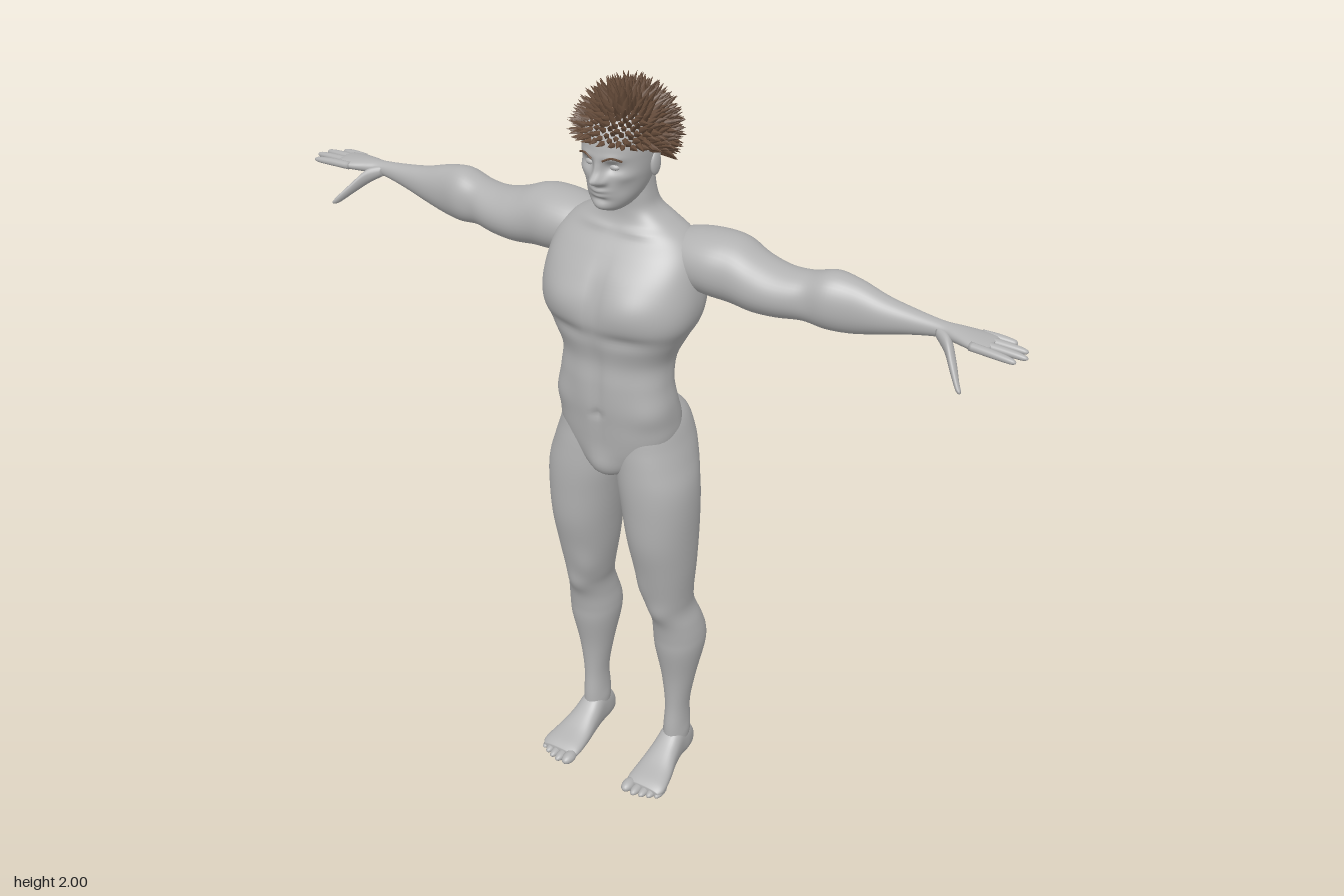
import * as THREE from 'three';
import { mergeGeometries } from 'three/addons/utils/BufferGeometryUtils.js';

// Smooth interpolation through rows of numbers
function sample(rows, u) {
  const i = Math.min(Math.floor(u), rows.length - 2), f = u - i;
  const p = (k) => rows[Math.max(0, Math.min(rows.length - 1, k))];
  return rows[0].map((_, c) => {
    const a = p(i - 1)[c], b = p(i)[c], d = p(i + 1)[c], e = p(i + 2)[c];
    return b + 0.5 * f * (d - a + f * (2 * a - 5 * b + 4 * d - e + f * (3 * (b - d) + e - a)));
  });
}

// Loft along an axis (0 x, 1 y, 2 z). Row: [position, a min, a max, b min, b max],
// where a and b are the next two axes in cyclic order. Bumps: [x, y, z, rx, ry, rz, height].
function loft(axis, rows, { sides = 40, steps = 6, n = 2.1, bumps = [] } = {}) {
  const pos = [], idx = [], rings = (rows.length - 1) * steps + 1;
  const put = (t, a, b) => {
    const p = [0, 0, 0];
    p[axis] = t; p[(axis + 1) % 3] = a; p[(axis + 2) % 3] = b;
    pos.push(...p);
  };
  const pow = (v) => Math.sign(v) * Math.abs(v) ** (2 / n);
  for (let r = 0; r < rings; r++) {
    const [t, a0, a1, b0, b1] = sample(rows, r / steps);
    for (let s = 0; s < sides; s++) {
      const q = (s / sides) * Math.PI * 2;
      put(t, (a0 + a1) / 2 + (a1 - a0) / 2 * pow(Math.cos(q)), (b0 + b1) / 2 + (b1 - b0) / 2 * pow(Math.sin(q)));
      if (r === rings - 1) continue;
      const i = r * sides + s, j = r * sides + (s + 1) % sides;
      idx.push(i, j, j + sides, i, j + sides, i + sides);
    }
  }
  const first = rows[0], last = rows[rows.length - 1], c = rings * sides;
  for (const w of [first, last]) put(w[0], (w[1] + w[2]) / 2, (w[3] + w[4]) / 2);
  for (let s = 0; s < sides; s++) {
    const k = (s + 1) % sides, top = c - sides;
    idx.push(c, k, s, c + 1, top + s, top + k);
  }
  const g = new THREE.BufferGeometry();
  g.setAttribute('position', new THREE.Float32BufferAttribute(pos, 3));
  g.setIndex(idx);
  g.computeVertexNormals();
  // Muscles, grooves and features pushed along the normals
  const P = g.attributes.position, N = g.attributes.normal;
  for (let i = 0; i < P.count; i++) {
    const x = P.getX(i), y = P.getY(i), z = P.getZ(i);
    let h = 0;
    for (const [bx, by, bz, rx, ry, rz, amount] of bumps)
      h += amount * Math.exp(-(((Math.abs(x) - bx) / rx) ** 2) - ((y - by) / ry) ** 2 - ((z - bz) / rz) ** 2);
    P.setXYZ(i, x + N.getX(i) * h, y + N.getY(i) * h, z + N.getZ(i) * h);
  }
  g.computeVertexNormals();
  return g;
}

function ellipsoid(x, y, z, rx, ry, rz) {
  return new THREE.SphereGeometry(1, 20, 14).scale(rx, ry, rz).translate(x, y, z);
}

function mirrored(g) {
  const m = g.clone().scale(-1, 1, 1), a = m.index.array;
  for (let i = 0; i < a.length; i += 3) [a[i], a[i + 1]] = [a[i + 1], a[i]];
  m.computeVertexNormals();
  return m;
}

const even = (rows) => rows.map(([y, zb, zf, w]) => [y, zb, zf, -w, w]);

export function createModel() {
  const model = new THREE.Group();
  const material = (name, color) => Object.assign(new THREE.MeshStandardMaterial({ color }), { name });
  const skin = material('grey skin', 0xb2b2b2);
  const hair = material('dark brown hair', 0x664c3a);
  const scalp = material('light brown scalp', 0x8a6a52);
  const add = (name, g, m = skin) => {
    const mesh = new THREE.Mesh(g, m);
    mesh.name = name;
    model.add(mesh);
  };
  const pair = (name, g, m) => {
    add('left' + name, g, m);
    add('right' + name, mirrored(g), m);
  };

  // Torso and neck
  add('torso', loft(1, even([
    [0.975, -0.03, 0.06, 0.02], [1.0, -0.06, 0.095, 0.07], [1.05, -0.09, 0.108, 0.13], [1.1, -0.1, 0.115, 0.156],
    [1.15, -0.098, 0.12, 0.158], [1.2, -0.08, 0.124, 0.155], [1.26, -0.07, 0.123, 0.147], [1.32, -0.09, 0.12, 0.146],
    [1.38, -0.115, 0.133, 0.173], [1.43, -0.132, 0.142, 0.2], [1.48, -0.145, 0.136, 0.208], [1.54, -0.15, 0.115, 0.202],
    [1.59, -0.14, 0.08, 0.19], [1.63, -0.122, 0.045, 0.16], [1.66, -0.108, 0.03, 0.115], [1.69, -0.092, 0.026, 0.076],
    [1.73, -0.078, 0.028, 0.065], [1.8, -0.07, 0.03, 0.06],
  ]), {
    sides: 80, n: 2.35, bumps: [
      [0.085, 1.48, 0.13, 0.07, 0.05, 0.08, 0.013], [0, 1.49, 0.13, 0.018, 0.08, 0.06, -0.008], // chest
      [0.08, 1.4, 0.13, 0.07, 0.02, 0.06, -0.007], [0, 1.25, 0.12, 0.012, 0.13, 0.05, -0.005],
      [0.04, 1.27, 0.12, 0.03, 0.09, 0.05, 0.004], [0, 1.175, 0.12, 0.01, 0.012, 0.03, -0.008], // stomach
      [0.125, 1.19, 0.07, 0.04, 0.04, 0.06, 0.006], [0, 1.02, 0.1, 0.035, 0.04, 0.05, 0.012],
      [0, 1.38, -0.12, 0.02, 0.22, 0.08, -0.016], [0.1, 1.53, -0.14, 0.06, 0.06, 0.05, 0.01], // back
      [0.045, 1.25, -0.08, 0.03, 0.1, 0.05, 0.009], [0.05, 1.64, 0.03, 0.05, 0.01, 0.03, 0.005],
    ],
  }));

  // Head with face relief
  add('head', loft(1, even([
    [1.704, 0.0, 0.075, 0.025], [1.72, -0.02, 0.094, 0.045], [1.75, -0.05, 0.102, 0.065], [1.79, -0.08, 0.106, 0.077],
    [1.83, -0.1, 0.107, 0.084], [1.87, -0.108, 0.107, 0.087], [1.91, -0.1, 0.094, 0.081], [1.94, -0.075, 0.06, 0.06],
    [1.955, -0.03, 0.02, 0.02],
  ]), {
    sides: 112, steps: 12, n: 2.15, bumps: [
      [0, 1.793, 0.12, 0.013, 0.014, 0.05, 0.028], [0, 1.815, 0.12, 0.01, 0.025, 0.05, 0.012], // nose
      [0.016, 1.789, 0.11, 0.008, 0.009, 0.04, 0.007],
      [0.033, 1.822, 0.1, 0.018, 0.014, 0.04, -0.012], [0.03, 1.846, 0.1, 0.028, 0.01, 0.04, 0.004], // eyes, brows
      [0, 1.765, 0.1, 0.02, 0.006, 0.04, 0.008], [0, 1.752, 0.1, 0.018, 0.006, 0.04, 0.006], // lips
      [0, 1.739, 0.1, 0.02, 0.006, 0.04, -0.004], [0, 1.723, 0.1, 0.022, 0.012, 0.04, 0.007], // chin
      [0.056, 1.802, 0.07, 0.016, 0.014, 0.04, 0.004], [0.05, 1.768, 0.07, 0.015, 0.02, 0.04, -0.003],
    ],
  }));
  pair('Eye', ellipsoid(0.032, 1.822, 0.082, 0.015, 0.009, 0.013));
  pair('Ear', ellipsoid(0.084, 1.812, -0.005, 0.009, 0.03, 0.019).rotateY(0));
  pair('Eyebrow', new THREE.TubeGeometry(new THREE.CatmullRomCurve3([
    new THREE.Vector3(0.014, 1.84, 0.11), new THREE.Vector3(0.035, 1.849, 0.105), new THREE.Vector3(0.057, 1.842, 0.092),
  ]), 12, 0.0025, 6), hair);

  // Arm and palm
  pair('Arm', loft(0, [
    [0.08, 1.53, 1.62, -0.12, -0.01], [0.15, 1.505, 1.643, -0.145, 0.015], [0.22, 1.495, 1.652, -0.155, 0.022],
    [0.28, 1.49, 1.648, -0.15, 0.014], [0.34, 1.485, 1.626, -0.135, 0.01], [0.4, 1.488, 1.612, -0.127, 0.003],
    [0.46, 1.495, 1.613, -0.128, -0.005], [0.52, 1.488, 1.63, -0.13, -0.01], [0.58, 1.491, 1.622, -0.122, -0.025],
    [0.65, 1.51, 1.602, -0.11, -0.035], [0.72, 1.53, 1.59, -0.1, -0.045], [0.79, 1.546, 1.583, -0.09, -0.05],
    [0.83, 1.547, 1.582, -0.097, -0.04], [0.87, 1.549, 1.58, -0.104, -0.026], [0.905, 1.552, 1.577, -0.104, -0.018],
    [0.917, 1.558, 1.573, -0.098, -0.025],
  ], { n: 2.1, bumps: [
    [0.37, 1.55, 0, 0.07, 0.04, 0.04, 0.006], [0.48, 1.56, 0, 0.03, 0.05, 0.05, -0.006],
    [0.32, 1.55, -0.14, 0.03, 0.05, 0.04, -0.004], [0.5, 1.55, -0.13, 0.03, 0.03, 0.03, 0.005],
  ] }));

  // Fingers: little, ring, middle, index, then thumb
  const fingers = [[0.955, -0.094, -0.102], [0.99, -0.073, -0.078], [1.0, -0.051, -0.051], [0.985, -0.029, -0.021]];
  pair('Fingers', mergeGeometries(fingers.map(([tip, z0, z1]) => loft(0,
    [[0, 0.011], [0.35, 0.0108], [0.7, 0.0095], [0.93, 0.007], [1, 0.002]].map(([f, r]) => {
      const z = z0 + (z1 - z0) * f, y = 1.566 - 0.004 * f * f;
      return [0.875 + (tip - 0.875) * f, y - r * 0.9, y + r * 0.9, z - r, z + r];
    }), { sides: 14, steps: 4 }))));
  pair('Thumb', loft(0, [
    [0.785, 1.548, 1.575, -0.075, -0.048], [0.82, 1.527, 1.567, -0.058, -0.022], [0.85, 1.502, 1.533, -0.026, 0.008],
    [0.876, 1.48, 1.501, 0.01, 0.031], [0.888, 1.478, 1.486, 0.024, 0.034],
  ], { sides: 18 }));

  // Leg with buttock
  pair('Leg', loft(1, [
    [0.05, -0.11, -0.02, 0.102, 0.165], [0.12, -0.115, -0.02, 0.102, 0.165], [0.2, -0.11, -0.025, 0.104, 0.165],
    [0.3, -0.125, -0.018, 0.09, 0.18], [0.4, -0.147, 0.002, 0.071, 0.2], [0.45, -0.147, 0.008, 0.068, 0.202],
    [0.5, -0.13, 0.018, 0.072, 0.195], [0.55, -0.112, 0.036, 0.073, 0.183], [0.6, -0.105, 0.05, 0.062, 0.185],
    [0.7, -0.11, 0.075, 0.042, 0.196], [0.8, -0.115, 0.098, 0.028, 0.203], [0.9, -0.114, 0.106, 0.014, 0.207],
    [0.97, -0.117, 0.108, 0.003, 0.203], [1.03, -0.132, 0.105, 0, 0.188], [1.08, -0.137, 0.1, 0, 0.173],
    [1.14, -0.12, 0.09, 0.008, 0.152], [1.19, -0.065, 0.05, 0.035, 0.115],
  ], { sides: 48, bumps: [
    [0.128, 0.56, 0.04, 0.03, 0.035, 0.03, 0.006], [0.09, 0.64, 0.04, 0.025, 0.05, 0.04, 0.006],
    [0.128, 0.56, -0.11, 0.025, 0.05, 0.03, -0.005], [0.1, 0.96, -0.12, 0.07, 0.02, 0.04, -0.005],
    [0.135, 0.4, -0.14, 0.012, 0.08, 0.03, -0.004], [0.13, 0.1, -0.07, 0.06, 0.02, 0.025, 0.004],
  ] }));

  // Foot and toes
  pair('Foot', loft(2, [
    [-0.132, 0.12, 0.147, 0.018, 0.05], [-0.12, 0.107, 0.158, 0.004, 0.08], [-0.09, 0.1, 0.166, 0, 0.105],
    [-0.05, 0.097, 0.168, 0, 0.118], [0, 0.092, 0.176, 0, 0.085], [0.05, 0.086, 0.19, 0, 0.056],
    [0.1, 0.084, 0.199, 0, 0.038], [0.122, 0.09, 0.19, 0.004, 0.026],
  ], { n: 2.4 }));
  pair('Toes', mergeGeometries([[0.1, 0.155, 0.017], [0.126, 0.154, 0.013], [0.148, 0.148, 0.012], [0.168, 0.139, 0.012],
    [0.187, 0.128, 0.011]].map(([x, tip, r]) => ellipsoid(x, r * 0.9, tip - 0.028, r, r * 0.9, 0.028))));

  // Scalp cap, tucked inside the head below the hairline
  const centre = new THREE.Vector3(0, 1.865, -0.012), radii = new THREE.Vector3(0.096, 0.1, 0.112);
  const hairline = (z) => 1.845 + 0.35 * Math.max(z, 0) + 0.95 * Math.min(z + 0.03, 0);
  const cap = new THREE.SphereGeometry(1, 48, 36), p = new THREE.Vector3();
  for (let i = 0; i < cap.attributes.position.count; i++) {
    p.fromBufferAttribute(cap.attributes.position, i).multiply(radii);
    if (p.y + centre.y < hairline(p.z + centre.z)) p.multiplyScalar(0.75);
    p.add(centre);
    cap.attributes.position.setXYZ(i, p.x, p.y, p.z);
  }
  cap.computeVertexNormals();
  add('scalp', cap, scalp);

  // Hair spikes spread evenly over the cap
  let seed = 7;
  const rand = () => (seed = (seed * 16807) % 2147483647) / 2147483647 - 0.5;
  const spikes = [], up = new THREE.Vector3(0, 1, 0), count = 760;
  for (let i = 0; i < count; i++) {
    const h = 1 - 2 * (i + 0.5) / count, r = Math.sqrt(1 - h * h), a = i * 2.39996;
    const unit = new THREE.Vector3(r * Math.cos(a), h, r * Math.sin(a));
    const base = unit.clone().multiply(radii).multiplyScalar(0.97).add(centre);
    if (base.y < hairline(base.z)) continue;
    const dir = unit.add(new THREE.Vector3(rand(), rand(), rand()).multiplyScalar(0.5)).normalize();
    const length = 0.038 + 0.012 * rand();
    const spike = new THREE.ConeGeometry(0.0095, length, 5, 1, true).translate(0, length / 2, 0);
    spike.applyQuaternion(new THREE.Quaternion().setFromUnitVectors(up, dir)).translate(base.x, base.y, base.z);
    spikes.push(spike);
  }
  add('hairSpikes', mergeGeometries(spikes), hair);
  return model;
}
